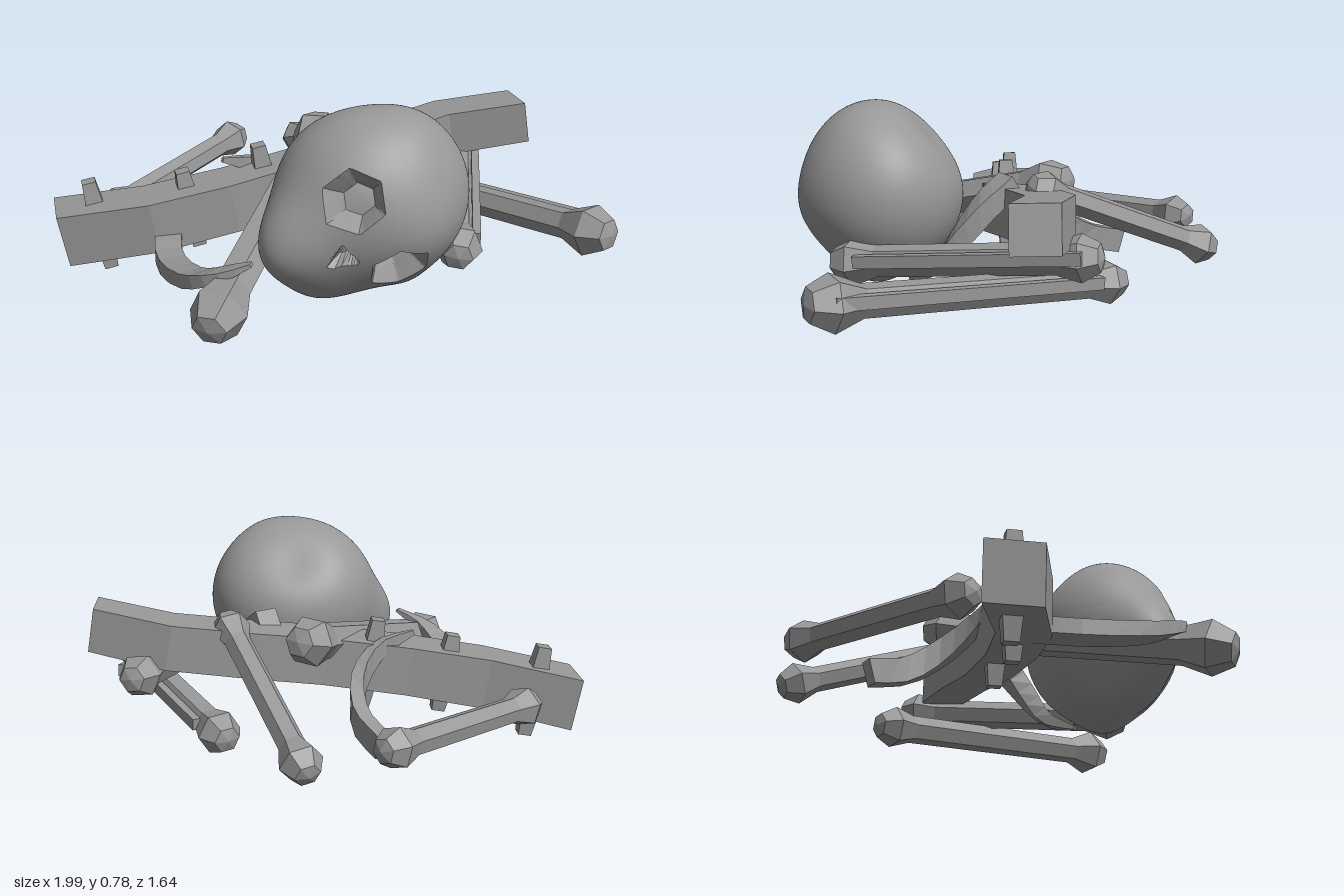
import * as THREE from 'three';
import { mergeVertices, toCreasedNormals } from 'three/addons/utils/BufferGeometryUtils.js';

const V = (x, y, z) => new THREE.Vector3(x, y, z);
const UP = V(0, 1, 0);

const flat = new THREE.MeshStandardMaterial({ color: 0x989898, flatShading: true });
const smooth = new THREE.MeshStandardMaterial({ color: 0x989898 });

function mesh(name, geometry, material = flat) {
  const m = new THREE.Mesh(geometry, material);
  m.name = name;
  return m;
}

// Rectangular bar swept along a path; size(t) gives [width, height].
// With an axis given, all sections are cut square to that axis.
function sweep(points, steps, size, axis) {
  const curve = new THREE.CatmullRomCurve3(points);
  const pos = [], idx = [];
  for (let i = 0; i <= steps; i++) {
    const t = i / steps, p = curve.getPoint(t), tan = axis || curve.getTangent(t);
    const side = tan.clone().cross(UP).normalize();
    const up = side.clone().cross(tan).normalize();
    const [w, h] = size(t);
    for (const [s, u] of [[1, 1], [-1, 1], [-1, -1], [1, -1]]) {
      const c = p.clone().addScaledVector(side, s * w / 2).addScaledVector(up, u * h / 2);
      pos.push(c.x, c.y, c.z);
    }
    if (i === steps) break;
    for (let k = 0; k < 4; k++) {
      const a = i * 4 + k, a1 = i * 4 + (k + 1) % 4;
      idx.push(a, a + 4, a1 + 4, a, a1 + 4, a1);
    }
  }
  const e = steps * 4;
  idx.push(0, 1, 2, 0, 2, 3, e, e + 2, e + 1, e, e + 3, e + 2);
  const g = new THREE.BufferGeometry();
  g.setAttribute('position', new THREE.Float32BufferAttribute(pos, 3));
  g.setIndex(idx);
  g.computeVertexNormals();
  return g;
}

// Place an object built along +y so that it runs from a to b.
function align(object, a, b) {
  object.position.copy(a);
  object.quaternion.setFromUnitVectors(UP, b.clone().sub(a).normalize());
  return object;
}

// Long bone: straight shaft with a faceted knob at each end.
function bone(name, a, b, knobA, knobB, shaft) {
  const L = a.distanceTo(b);
  const profile = [
    [0, 0], [knobA * 0.6, 0.015], [knobA, knobA * 0.95], [shaft, knobA * 2],
    [shaft, L - knobB * 2], [knobB, L - knobB * 0.95], [knobB * 0.6, L - 0.015], [0, L],
  ].map(([r, y]) => new THREE.Vector2(r, y));
  return align(mesh(name, new THREE.LatheGeometry(profile, 6)), a, b);
}

// Paired bone: shared knobs, a main shaft and a thin straight strut beside it.
function pairedBone(name, a, b, knobA, knobB) {
  const g = new THREE.Group();
  g.name = name;
  g.add(bone('mainShaft', a, b, knobA, knobB, 0.058));
  const ends = [0.09, 0.91].map(t => a.clone().lerp(b, t).add(V(0.07, 0.02, 0)));
  g.add(mesh('thinStrut', sweep(ends, 1, () => [0.03, 0.045])));
  return g;
}

// Skull: ellipsoid pulled out at the jaw and cheek, with sockets pressed in.
function skull() {
  // direction, amount, angular width
  const bumps = [
    [V(-0.9, -0.32, 0.3), 0.12, 0.4],
    [V(-0.58, -0.8, 0.1), 0.085, 0.4],
    [V(0.35, -0.9, 0.1), 0.03, 0.3],
    [V(0.3, -0.15, 0.9), 0.015, 0.4],
    [V(0.05, 0.72, -0.69), -0.055, 0.55],
    [V(0.35, 0.8, 0.3), 0.012, 0.4],
  ];
  // direction, radius, depth, number of sides, turn
  const holes = [
    [V(-0.15, 0.095, 0.27), 0.36, 0.1, 6, 0.3],
    [V(0.025, -0.18, 0.25), 0.36, 0.1, 6, 0.3],
    [V(-0.18, -0.115, 0.26), 0.19, 0.06, 3, 2.6],
  ];
  for (const [d] of [...bumps, ...holes]) d.normalize();
  let g = new THREE.IcosahedronGeometry(1, 36);
  g.deleteAttribute('normal');
  g.deleteAttribute('uv');
  g = mergeVertices(g, 1e-4);
  const p = g.attributes.position, d = V(0, 0, 0);
  for (let i = 0; i < p.count; i++) {
    d.fromBufferAttribute(p, i).normalize();
    let dent = 0;
    for (const [dir, size, depth, sides, turn] of holes) {
      const ang = d.angleTo(dir);
      if (ang > 1 || ang < 1e-3) {
        if (ang < 1e-3) dent = depth;
        continue;
      }
      const u = V(0, 1, 0).cross(dir).normalize(), v = dir.clone().cross(u);
      const sector = 2 * Math.PI / sides;
      const a = (Math.atan2(d.dot(v), d.dot(u)) + turn + 4 * Math.PI) % sector - sector / 2;
      const reach = ang * Math.cos(a) / Math.cos(sector / 2);
      // Snap nearby vertices onto the rim and the floor edge for clean outlines
      const floor = size * 0.72;
      let target = reach;
      if (Math.abs(reach - size) < 0.024) target = size;
      else if (Math.abs(reach - floor) < 0.024) target = floor;
      if (target !== reach) {
        const tangent = d.clone().addScaledVector(dir, -d.dot(dir)).normalize();
        const bent = ang * target / reach;
        d.copy(dir).multiplyScalar(Math.cos(bent)).addScaledVector(tangent, Math.sin(bent));
      }
      dent += depth * THREE.MathUtils.clamp((size - target) / (size - floor), 0, 1);
    }
    let r = 1 / Math.hypot(d.x / 0.35, d.y / 0.335, d.z / 0.31) - dent;
    for (const [dir, amount, width] of bumps) {
      r += amount * Math.exp(-((d.angleTo(dir) / width) ** 2));
    }
    p.setXYZ(i, d.x * r, d.y * r, d.z * r);
  }
  const m = mesh('skull', toCreasedNormals(g, 0.5), smooth);
  m.position.set(0.1, 0.455, 0.48);
  return m;
}

export function createModel() {
  const model = new THREE.Group();
  model.name = 'bonePile';

  // Crooked beam
  const beamY = x => 0.165 + (x + 0.98) * 0.176;
  const beamPath = [[-0.98, -0.09], [-0.64, 0.01], [-0.33, 0.025], [0, 0], [0.28, -0.06], [0.6, -0.11], [0.895, -0.03]]
    .map(([x, z]) => V(x, beamY(x), z));
  model.add(mesh('beam', sweep(beamPath, 6, t => [0.2 - 0.03 * t, 0.21 - 0.04 * t], V(0.985, 0.173, 0))));

  // Tapered pegs through the beam
  const tilt = V(-0.17, 0.985, 0);
  for (const [x, z, half] of [[-0.833, -0.07, 0.187], [-0.485, 0, 0.16], [-0.18, -0.01, 0.18]]) {
    const c = V(x, beamY(x), z);
    for (const s of [1, -1]) {
      const g = new THREE.CylinderGeometry(0.037, 0.06, half, 4).rotateY(Math.PI / 4).translate(0, half / 2, 0);
      model.add(align(mesh('peg', g), c, c.clone().addScaledVector(tilt, s)));
    }
  }

  // Loose long bones
  model.add(bone('backRightBone', V(-0.81, 0.18, -0.18), V(-0.13, 0.25, -0.77), 0.08, 0.08, 0.052));
  model.add(bone('backLeftBone', V(0.39, 0.52, -0.05), V(0.11, 0.18, -0.81), 0.075, 0.08, 0.05));
  model.add(bone('frontRightBone', V(0.12, 0.47, -0.24), V(-0.56, 0.16, 0.8), 0.1, 0.105, 0.073));
  model.add(pairedBone('outerLeftBone', V(0.95, 0.28, 0.7), V(0.38, 0.15, -0.41), 0.1, 0.085));
  model.add(pairedBone('innerLeftBone', V(0.74, 0.35, -0.28), V(0.37, 0.24, 0.66), 0.085, 0.09));

  // Curved ribs, tapering to the tip: width, height, path
  const ribs = [
    [0.1, 0.06, V(-0.58, 0.17, 0.05), V(-0.605, 0.16, 0.25), V(-0.56, 0.2, 0.48), V(-0.49, 0.26, 0.6), V(-0.38, 0.32, 0.66)],
    [0.055, 0.095, V(-0.18, 0.14, -0.48), V(-0.11, 0.19, -0.33), V(-0.12, 0.29, -0.18), V(-0.21, 0.38, -0.07), V(-0.35, 0.43, -0.02)],
    [0.09, 0.08, V(0.22, 0.49, 0), V(0.27, 0.42, 0.09), V(0.29, 0.3, 0.19), V(0.27, 0.18, 0.28), V(0.18, 0.11, 0.38)],
  ];
  for (const [w, h, ...path] of ribs) {
    model.add(mesh('rib', sweep(path, 10, t => [w * (1 - 0.75 * t ** 3), h * (1 - 0.8 * t ** 3)])));
  }

  model.add(skull());
  return model;
}
